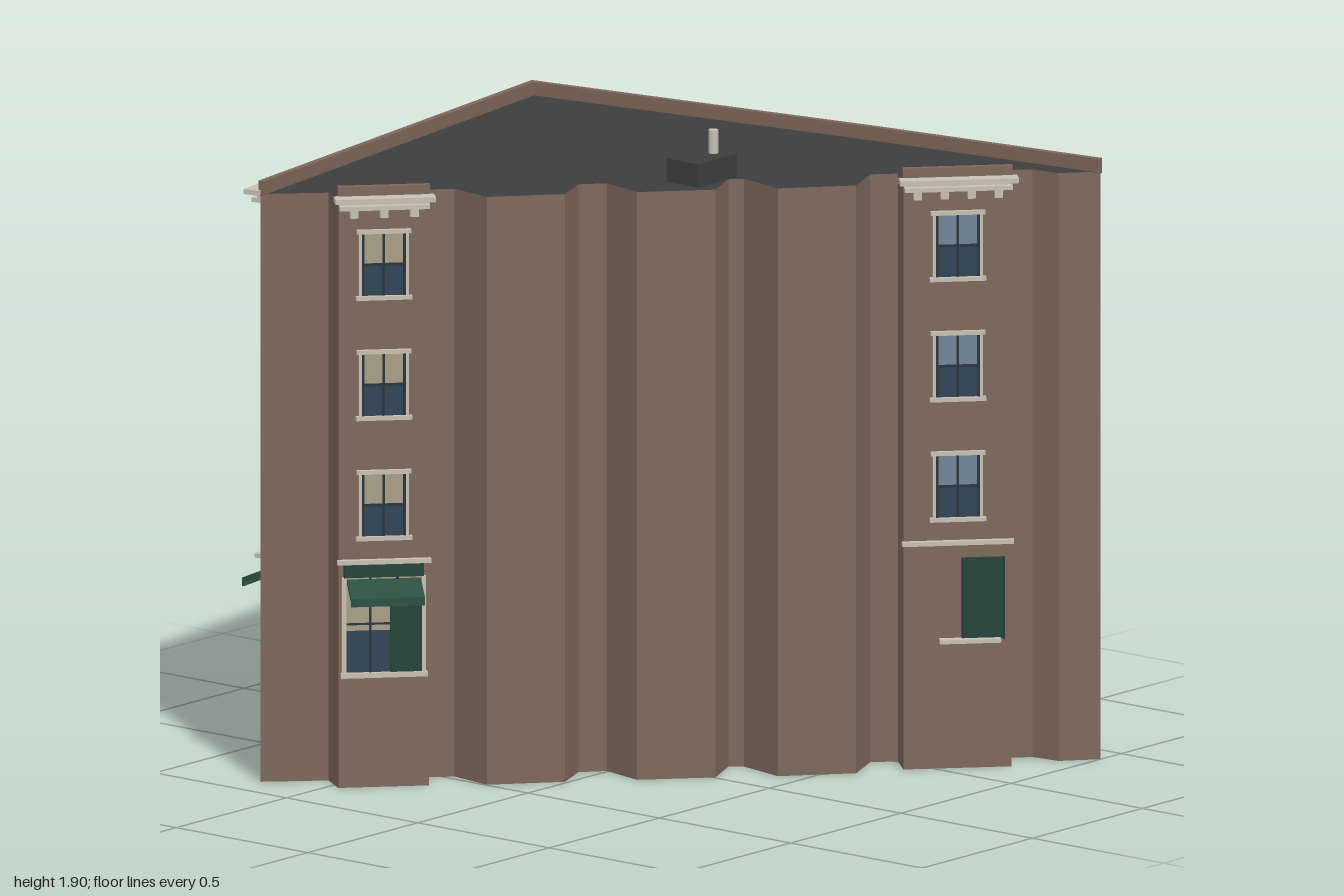
import * as THREE from 'three';

const mat = (name, color) => Object.assign(new THREE.MeshStandardMaterial({ color }), { name });
const brick = mat('brick', 0x7e675b);
const roofDark = mat('roof', 0x3d3d3d);
const trim = mat('trim', 0xc8c1b3);
const green = mat('awning green', 0x2c5042);
const doorGreen = mat('door green', 0x224538);
const glassDark = mat('dark glass', 0x2e4558);
const glassLight = mat('light glass', 0x70859a);
const curtain = mat('curtain', 0xa89f86);
const plainGlass = mat('side window', 0x36505f);
const sash = mat('sash', 0x2a343a);

// footprint corners [x, z], walked so that every wall faces outward
const plan = [
  [-0.89, -0.69], [-0.75, -0.55], [-0.805, -0.465], [-0.61, -0.285], [-0.55, -0.37], [-0.475, -0.3],
  [-0.495, -0.16], [-0.32, -0.01], [-0.2, -0.06], [-0.135, -0.005], [-0.165, 0.135], [0.005, 0.29],
  [0.135, 0.23], [0.165, 0.265], [0.135, 0.42], [0.31, 0.57], [0.445, 0.51], [0.505, 0.565],
  [0.435, 0.645], [0.67, 0.86], [0.735, 0.77], [0.8, 0.83], [0.81, 0.92], [0.905, 1.0],
  [0.8, 0.25], [0.605, -0.91],
];
const ROOF = 1.76;

// box given by its centre x, bottom, top, back z and front z
function block(parent, name, material, x, w, y0, y1, z0, z1) {
  const mesh = new THREE.Mesh(new THREE.BoxGeometry(w, y1 - y0, z1 - z0), material);
  mesh.position.set(x, (y0 + y1) / 2, (z0 + z1) / 2);
  mesh.name = name;
  parent.add(mesh);
  return mesh;
}

// group on a wall: x runs along it from the middle, z points outward
function wall(parent, name, i) {
  const a = plan[i], b = plan[(i + 1) % plan.length];
  const dx = b[0] - a[0], dz = b[1] - a[1];
  const g = new THREE.Group();
  g.name = name;
  g.position.set((a[0] + b[0]) / 2, 0, (a[1] + b[1]) / 2);
  g.rotation.y = Math.atan2(-dz, dx);
  g.userData.len = Math.hypot(dx, dz);
  parent.add(g);
  return g;
}

function group(parent, name, x) {
  const g = new THREE.Group();
  g.name = name;
  g.position.x = x;
  parent.add(g);
  return g;
}

// sash window with stone surround
function sashWindow(parent, x, y, upper) {
  const g = group(parent, 'sashWindow', x);
  block(g, 'upperPane', upper, 0, 0.13, y, y + 0.095, 0, 0.003);
  block(g, 'lowerPane', glassDark, 0, 0.13, y - 0.095, y, 0, 0.003);
  block(g, 'meetingRail', sash, 0, 0.13, y - 0.004, y + 0.004, 0, 0.006);
  block(g, 'mullion', sash, 0, 0.007, y - 0.095, y + 0.095, 0, 0.006);
  for (const s of [-1, 1]) {
    block(g, 'sashStile', sash, s * 0.061, 0.008, y - 0.095, y + 0.095, 0, 0.006);
    block(g, 'jamb', trim, s * 0.069, 0.009, y - 0.095, y + 0.095, 0, 0.01);
  }
  block(g, 'lintel', trim, 0, 0.16, y + 0.093, y + 0.105, 0, 0.013);
  block(g, 'sill', trim, 0, 0.165, y - 0.105, y - 0.093, 0, 0.016);
}

// sloping awning with a short valance
function awning(parent, w) {
  const profile = new THREE.Shape([
    [0, 0.625], [0, 0.613], [0.093, 0.577], [0.093, 0.563], [0.1, 0.563], [0.1, 0.588],
  ].map(p => new THREE.Vector2(...p)));
  const geo = new THREE.ExtrudeGeometry(profile, { depth: w, bevelEnabled: false });
  geo.rotateY(-Math.PI / 2).translate(w / 2, 0, 0);
  const mesh = new THREE.Mesh(geo, green);
  mesh.name = 'awning';
  parent.add(mesh);
}

function door(parent, x, w) {
  block(parent, 'door', doorGreen, x, w, 0.385, 0.63, 0, 0.009);
  for (const s of [-1, 1]) block(parent, 'doorFrame', sash, x + s * w / 2, 0.006, 0.385, 0.63, 0, 0.012);
}

// shop window with fascia board and awning
function shopfront(parent, x, w, upper, withDoor) {
  const g = group(parent, 'shopfront', x);
  block(g, 'transomPane', upper, 0, w, 0.47, 0.63, 0, 0.003);
  block(g, 'displayPane', glassDark, 0, w, 0.345, 0.47, 0, 0.003);
  for (const f of [-0.17, 0.17]) block(g, 'mullion', sash, f * w, 0.007, 0.345, 0.63, 0, 0.007);
  block(g, 'rail', sash, 0, w, 0.487, 0.493, 0, 0.006);
  for (const s of [-1, 1]) block(g, 'jamb', trim, s * w / 2, 0.012, 0.345, 0.63, 0, 0.012);
  block(g, 'sill', trim, 0, w + 0.02, 0.33, 0.345, 0, 0.016);
  block(g, 'fascia', doorGreen, 0, w, 0.63, 0.667, 0, 0.012);
  if (withDoor) {
    block(g, 'doorPanel', doorGreen, w * 0.28, w * 0.4, 0.345, 0.58, 0, 0.009);
  }
  awning(g, w - 0.018);
}

// stone cornice with brackets, and the string course over the shops
function stonework(g, brackets) {
  const L = g.userData.len;
  block(g, 'corniceTop', trim, 0, L + 0.03, 1.757, 1.772, 0, 0.05);
  block(g, 'corniceLower', trim, 0, L, 1.733, 1.746, 0, 0.032);
  block(g, 'frieze', trim, 0, L, 1.746, 1.757, 0, 0.012);
  for (let i = 0; i < brackets; i++) {
    const x = ((i + 0.5) / brackets - 0.5) * L;
    block(g, 'bracket', trim, x, 0.024, 1.708, 1.733, 0, 0.022);
  }
  block(g, 'stringCourse', trim, 0, L + 0.01, 0.67, 0.683, 0, 0.018);
}

export function createModel() {
  const model = new THREE.Group();
  model.name = 'cornerBuilding';

  // main body: dark roof and base, brick walls
  const shape = new THREE.Shape(plan.map(([x, z]) => new THREE.Vector2(x, -z)));
  const bodyGeo = new THREE.ExtrudeGeometry(shape, { depth: ROOF, bevelEnabled: false });
  bodyGeo.rotateX(-Math.PI / 2);
  const body = new THREE.Mesh(bodyGeo, [roofDark, brick]);
  body.name = 'body';
  model.add(body);

  const floors = [0.845, 1.205, 1.565];
  const bayA = wall(model, 'narrowBay', 2);
  const bayB = wall(model, 'doorBay', 18);
  const sideFront = wall(model, 'sideWallFront', 23);
  const sideBack = wall(model, 'sideWallBack', 24);
  const street = wall(model, 'streetFacade', 25);

  // parapets
  for (const g of [bayA, bayB, sideFront, sideBack, street]) {
    block(g, 'parapet', brick, 0, g.userData.len + 0.005, 1.755, 1.8, -0.014, 0.006);
  }

  // narrow bay with a shop
  stonework(bayA, 3);
  floors.forEach(y => sashWindow(bayA, 0, y, curtain));
  shopfront(bayA, 0, 0.235, curtain, true);

  // bay with a door and stone step
  stonework(bayB, 4);
  floors.forEach(y => sashWindow(bayB, 0, y, glassLight));
  door(bayB, 0.075, 0.12);
  block(bayB, 'step', trim, 0.035, 0.18, 0.378, 0.39, 0, 0.03);

  // street facade: four columns, columns run left to right as seen from the street
  stonework(street, 14);
  const uppers = [
    [curtain, curtain, curtain, glassLight],
    [curtain, curtain, curtain, glassLight],
    [curtain, glassLight, curtain, glassLight],
  ];
  for (let c = 0; c < 4; c++) {
    const x = ((c + 0.5) / 4 - 0.5) * street.userData.len;
    floors.forEach((y, f) => sashWindow(street, x, y, uppers[f][c]));
    shopfront(street, x, 0.28, c === 0 ? curtain : glassLight, false);
    if (c === 3) {
      door(street, x + 0.105, 0.06);
      block(street, 'step', trim, x + 0.075, 0.14, 0.375, 0.388, 0, 0.03);
    }
  }

  // plain windows of the long side wall, placed by their z position
  for (const z of [0.82, 0.463, 0.085, -0.31, -0.708]) {
    const g = z > 0.25 ? sideFront : sideBack;
    const x = (g.position.z - z) / Math.abs(Math.sin(g.rotation.y));
    for (const y of [0.492, 0.856, 1.214, 1.577]) {
      block(g, 'sideWindow', plainGlass, x, 0.146, y - 0.096, y + 0.096, 0, 0.003);
    }
  }

  // rooftop box and flue
  block(model, 'rooftopBox', roofDark, 0.08, 0.175, ROOF, 1.83, 0.115, 0.235);
  const flue = new THREE.Mesh(new THREE.CylinderGeometry(0.015, 0.015, 0.07, 8), trim);
  flue.name = 'flue';
  flue.position.set(0.133, 1.865, 0.175);
  model.add(flue);
  return model;
}
